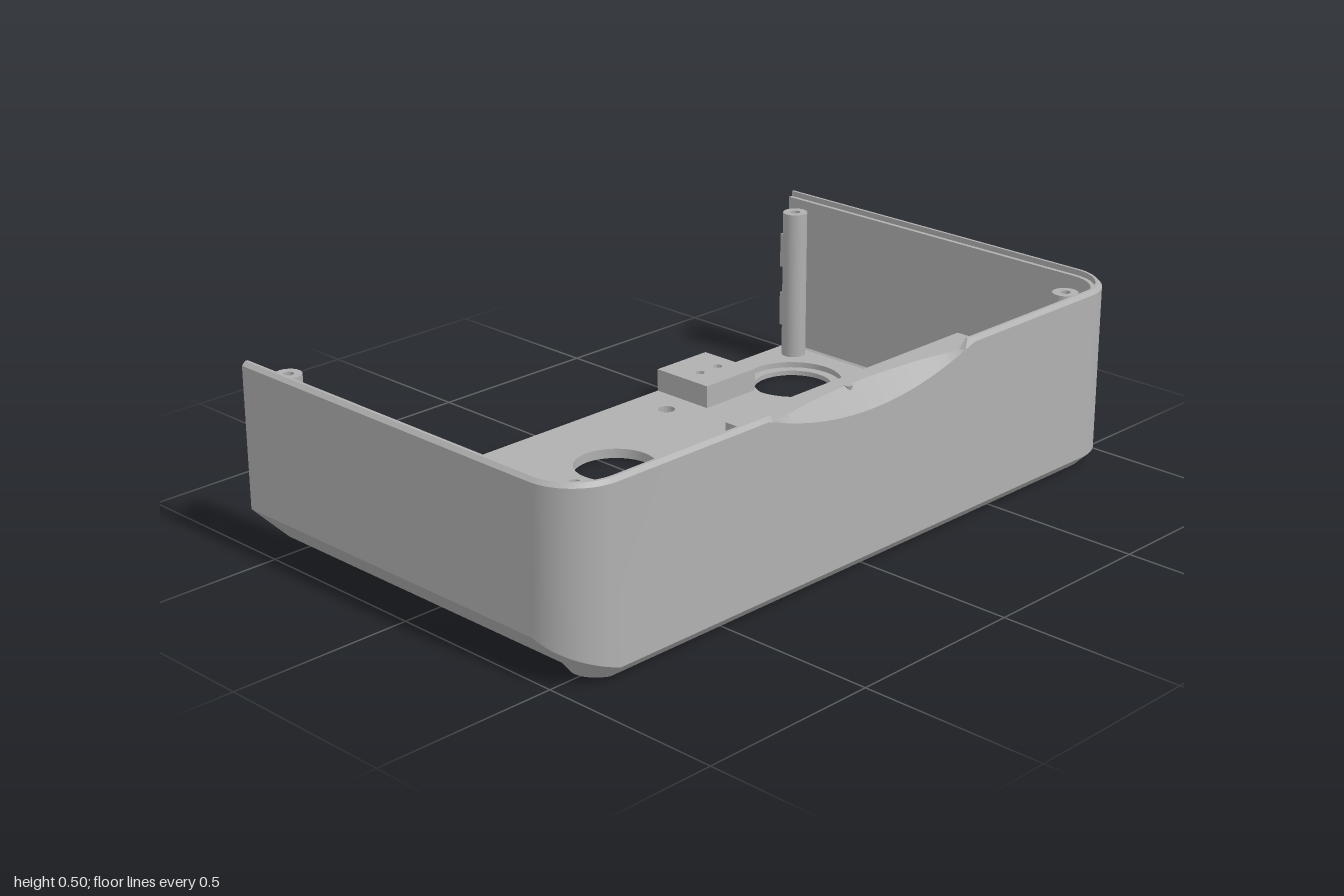
import * as THREE from 'three';
import { toCreasedNormals } from 'three/addons/utils/BufferGeometryUtils.js';

const XO = -0.585, XR = 0.585, R = 0.14, WALL = 0.03, FLOOR = 0.03;
const C_SIDE = 0.035, C_FRONT = 0.11;

const grey = new THREE.MeshStandardMaterial({ color: 0xb0b0b0, side: THREE.DoubleSide });
grey.name = 'plain grey';

function add(group, name, geometry) {
  const mesh = new THREE.Mesh(toCreasedNormals(geometry, 0.5), grey);
  mesh.name = name;
  group.add(mesh);
  return mesh;
}

// U-shaped plan of the wall: position, outward normal, bottom chamfer
function planStations() {
  const list = [];
  const put = (x, z, nx, nz, c) => list.push({ x, z, nx, nz, c });
  const corner = (cz, a0, a1, c0, c1) => {
    for (let i = 0; i <= 14; i++) {
      const t = i / 14, a = a0 + (a1 - a0) * t;
      const nx = Math.cos(a), nz = Math.sin(a);
      put(XR - R + R * nx, cz + R * nz, nx, nz, c0 + (c1 - c0) * t);
    }
  };
  put(XO, -1, 0, -1, C_SIDE);
  corner(-1 + R, -Math.PI / 2, 0, C_SIDE, C_SIDE);
  for (let i = -20; i <= 20; i++) put(XR, i * 0.02, 1, 0, C_SIDE);
  corner(1 - R, 0, Math.PI / 2, C_SIDE, C_FRONT);
  put(XO, 1, 0, 1, C_FRONT);
  return list;
}

// Finger scoop in the right wall: 0 at its ends, 1 in the middle
const scoop = (s) => (s.nx > 0.999 ? Math.max(0, 1 - (s.z / 0.4) ** 2) : 0);

// Wall cross-section as [inset, y], up the outside and down the inside
function section(s) {
  const f = scoop(s), d = 0.055 * f;
  const cap = f > 0 ? 0.475 + 0.025 * THREE.MathUtils.clamp((Math.abs(s.z) - 0.34) / 0.02, 0, 1) : 0.5;
  const step = Math.min(0.485, cap);
  return [
    [s.c, 0], [0, s.c], [0, Math.min(0.49, 0.5 - 0.08 * f)],
    [Math.max(0.01, d), cap], [Math.max(0.018, d), cap],
    [Math.max(0.018, d), step], [Math.max(WALL, d), step],
    [WALL, 0.39], [WALL, s.c], [s.c, FLOOR],
  ];
}

function wallGeometry(stations) {
  const pos = [], idx = [];
  const n = section(stations[0]).length;
  for (const s of stations)
    for (const [inset, y] of section(s)) pos.push(s.x - s.nx * inset, y, s.z - s.nz * inset);
  for (let i = 0; i < stations.length - 1; i++)
    for (let j = 0; j < n - 1; j++) {
      const a = i * n + j, b = a + n;
      idx.push(a, a + 1, b, b, a + 1, b + 1);
    }
  // cut ends on the open side
  for (const i of [0, stations.length - 1]) {
    const outline = section(stations[i]).map(([u, v]) => new THREE.Vector2(u, v));
    for (const t of THREE.ShapeUtils.triangulateShape(outline, [])) idx.push(...t.map((k) => i * n + k));
  }
  const g = new THREE.BufferGeometry();
  g.setAttribute('position', new THREE.Float32BufferAttribute(pos, 3));
  g.setIndex(idx);
  return g;
}

// Flat slab drawn in plan (x, z) from y0 to y1, with round holes [x, z, r]
function slab(points, y0, y1, holes = [], cutouts = []) {
  const shape = new THREE.Shape(points.map(([x, z]) => new THREE.Vector2(x, -z)));
  for (const [x, z, r] of holes) shape.holes.push(new THREE.Path().absarc(x, -z, r, 0, Math.PI * 2, true));
  shape.holes.push(...cutouts);
  const g = new THREE.ExtrudeGeometry(shape, { depth: y1 - y0, bevelEnabled: false, curveSegments: 24 });
  return g.rotateX(-Math.PI / 2).translate(0, y0, 0);
}
const rect = (x0, x1, z0, z1) => [[x0, z0], [x1, z0], [x1, z1], [x0, z1]];

export function createModel() {
  const model = new THREE.Group();
  model.name = 'openEnclosure';
  const stations = planStations();
  add(model, 'wall', wallGeometry(stations));

  // Floor in layers: shallow underside recess, fan openings, fan counterbores
  const plan = stations.map((s) => [s.x - s.nx * s.c, s.z - s.nz * s.c]);
  const cable = [-0.28, 0.04, 0.112];
  const fans = (r) => [-0.37, -0.08, 0.21].map((x) => [x, -0.76, r]);
  const screws = (r) => [-0.465, -0.1].flatMap((x) => [-0.34, 0.42].map((z) => [x, z, r]));
  const recess = new THREE.Path();
  recess.moveTo(-0.583, 0.44);
  recess.lineTo(-0.06, 0.44);
  recess.absarc(-0.06, 0.28, 0.16, Math.PI / 2, 0, true);
  recess.absarc(-0.06, -0.36, 0.16, 0, -Math.PI / 2, true);
  recess.lineTo(-0.583, -0.52);
  recess.closePath();
  add(model, 'floorUnderside', slab(plan, 0, 0.003, fans(0.112), [recess]));
  add(model, 'floorLower', slab(plan, 0.003, 0.014, [...fans(0.112), cable, ...screws(0.032)]));
  add(model, 'floorUpper', slab(plan, 0.014, FLOOR, [...fans(0.14), cable, ...screws(0.024)]));

  // Hollow screw posts, their feet cut to follow the front slope
  for (const [x, z] of [[-0.515, -0.92], [0.475, -0.895], [-0.515, 0.915], [0.475, 0.89]]) {
    const profile = [[0.035, 0.02], [0.035, 0.465], [0.014, 0.465], [0.014, 0.35], [0, 0.35]];
    const g = new THREE.LatheGeometry(profile.map(([r, y]) => new THREE.Vector2(r, y)), 24);
    g.translate(x, 0, z);
    const p = g.attributes.position;
    for (let i = 0; i < p.count; i++) p.setY(i, Math.max(p.getY(i), p.getZ(i) - 0.87));
    add(model, 'screwPost', g);
  }

  // Drilled mounting blocks by the open edge
  for (const [z0, z1, h] of [[-0.62, -0.425, -0.525], [0.625, 0.825, 0.725]]) {
    const holes = [-0.036, 0.036].map((d) => [-0.48, h + d, 0.013]);
    add(model, 'mountingBlock', slab(rect(XO, -0.39, z0, z1), FLOOR, 0.095, holes));
  }

  // Small tabs at the wall ends
  for (const side of [-1, 1])
    for (const y of [0.15, 0.33]) {
      const tab = add(model, 'edgeTab', new THREE.BoxGeometry(0.045, 0.1, 0.037));
      tab.position.set(XO + 0.0225, y, side * 0.953);
    }

  // Reinforcing bar behind the scoop, its outer edge following the cut
  const bar = [[0.487, 0.42], [0.487, -0.43], [0.555, -0.43]];
  for (const s of stations) if (s.nx > 0.999 && Math.abs(s.z) <= 0.401)
    bar.push([XR - Math.max(WALL, 0.055 * scoop(s)), s.z]);
  bar.push([0.555, 0.42]);
  add(model, 'scoopBar', slab(bar, 0.375, 0.475));

  // Tiny catch at the top of the scoop
  const catchPin = add(model, 'scoopCatch', new THREE.CylinderGeometry(0.012, 0.006, 0.022, 12));
  catchPin.position.set(0.532, 0.465, 0.04);
  return model;
}
